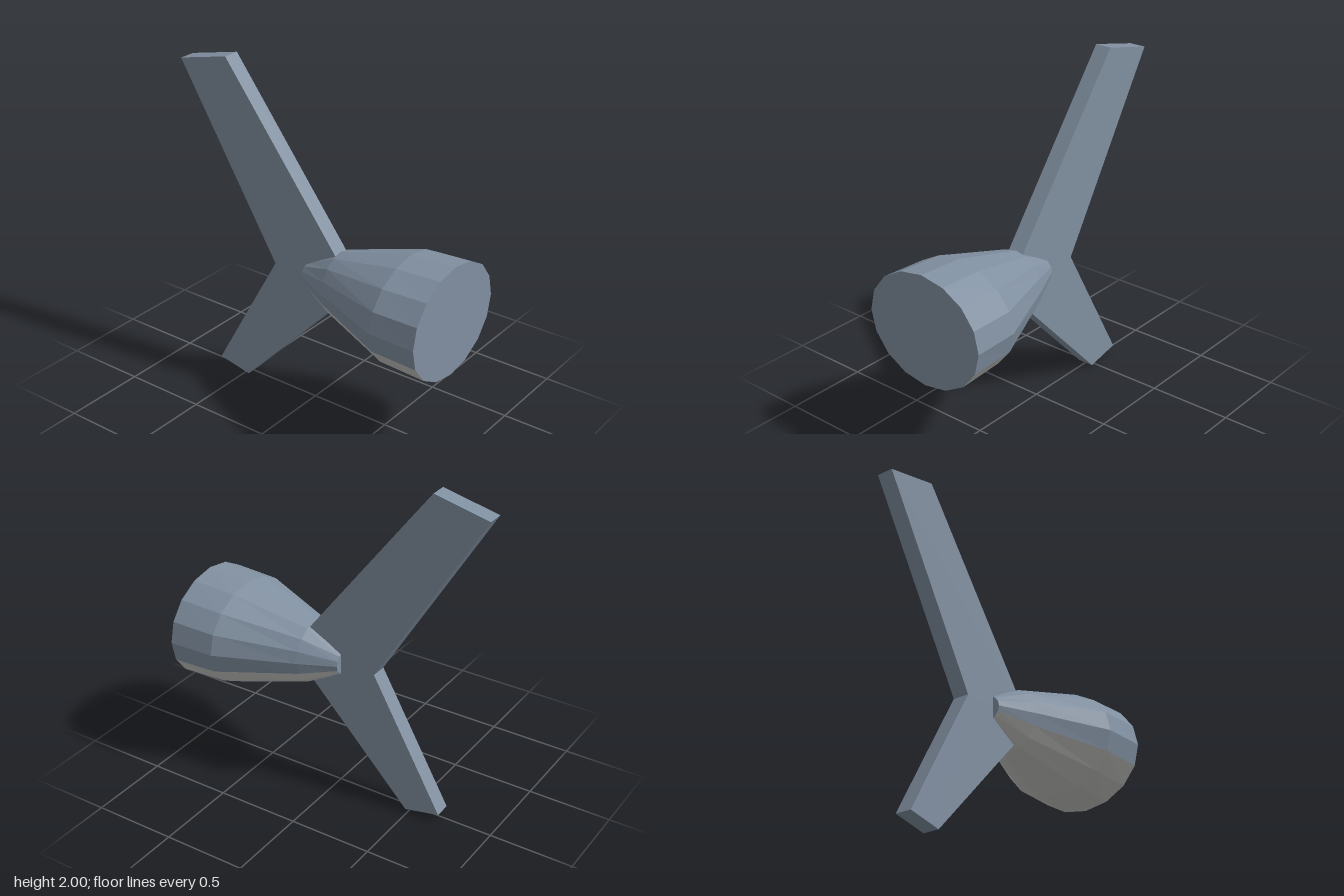
import * as THREE from 'three';

const SIDES = 16;
const AXIS_Y = 0.827;

// Body stations from front to rear: z, half width, half height
const STATIONS = [
  [0.92, 0.385, 0.328],
  [0.64, 0.378, 0.312],
  [0.18, 0.187, 0.188],
  [-0.03, 0.09, 0.077],
];

// Point on a station; i counts round from the top towards +x
function ringPoint([z, rx, ry], i) {
  const a = (i / SIDES) * Math.PI * 2;
  return [rx * Math.sin(a), AXIS_Y + ry * Math.cos(a), z];
}

function facetedMesh(name, points, material) {
  const geometry = new THREE.BufferGeometry();
  geometry.setAttribute('position', new THREE.Float32BufferAttribute(points.flat(), 3));
  geometry.computeVertexNormals();
  const mesh = new THREE.Mesh(geometry, material);
  mesh.name = name;
  return mesh;
}

// Strip of body panels between two positions round the rings
function bodyPanels(name, from, to, material) {
  const points = [];
  for (let s = 0; s < STATIONS.length - 1; s++) {
    for (let i = from; i < to; i++) {
      const a = ringPoint(STATIONS[s], i);
      const b = ringPoint(STATIONS[s], i + 1);
      const c = ringPoint(STATIONS[s + 1], i + 1);
      const d = ringPoint(STATIONS[s + 1], i);
      points.push(a, b, c, a, c, d);
    }
  }
  return facetedMesh(name, points, material);
}

// Flat end of the body
function endCap(name, station, facesFront, material) {
  const points = [];
  for (let i = 0; i < SIDES; i++) {
    const a = ringPoint(station, i);
    const b = ringPoint(station, i + 1);
    points.push([0, AXIS_Y, station[0]], ...(facesFront ? [b, a] : [a, b]));
  }
  return facetedMesh(name, points, material);
}

// Upright slab from a [z, y] outline, centred on x = 0
function fin(name, outline, material) {
  const shape = new THREE.Shape(outline.map(([z, y]) => new THREE.Vector2(z, y)));
  const geometry = new THREE.ExtrudeGeometry(shape, { depth: 0.1, bevelEnabled: false });
  geometry.translate(0, 0, -0.05).rotateY(-Math.PI / 2);
  const mesh = new THREE.Mesh(geometry, material);
  mesh.name = name;
  return mesh;
}

export function createModel() {
  const blueGrey = new THREE.MeshStandardMaterial({ color: 0x8190a1 });
  blueGrey.name = 'blue grey';
  const paleGrey = new THREE.MeshStandardMaterial({ color: 0xc4c4c2 });
  paleGrey.name = 'pale grey';

  const model = new THREE.Group();
  model.name = 'tailSection';

  // Tapered body with a pale belly
  model.add(
    bodyPanels('upperBody', -5, 5, blueGrey),
    bodyPanels('belly', 5, 11, paleGrey),
    endCap('frontCap', STATIONS[0], true, blueGrey),
    endCap('rearCap', STATIONS[STATIONS.length - 1], false, blueGrey),
  );

  // Swept fins, joined in one slab with a notch at the rear
  model.add(fin('tailFins', [
    [0.313, AXIS_Y], [-0.475, 0], [-0.69, 0.045],
    [-0.25, AXIS_Y], [-0.915, 1.925], [-0.585, 2],
  ], blueGrey));

  return model;
}
